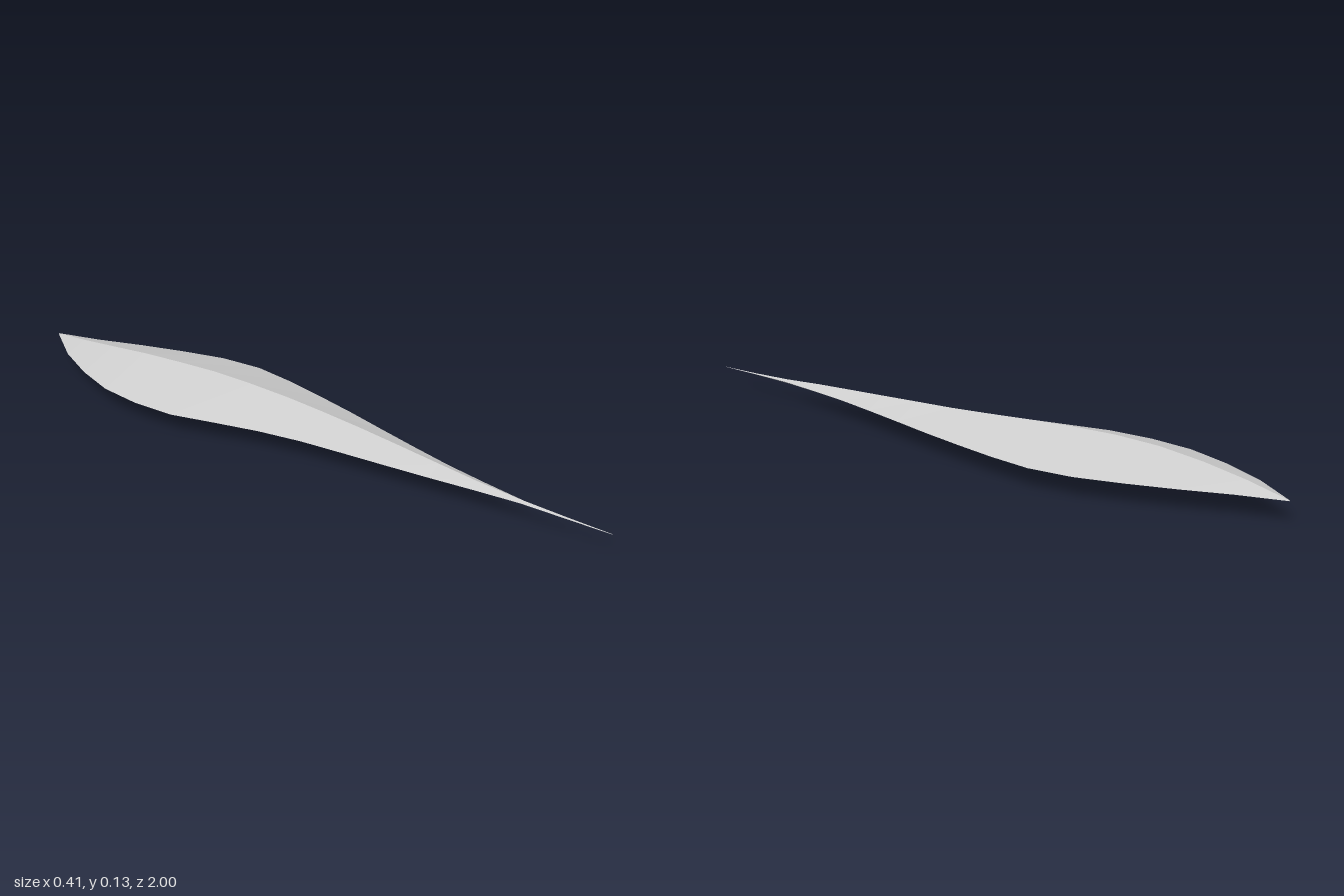
import * as THREE from 'three';

// Cross-sections from back tip to front tip: [left edge x, ridge x, right edge x, half thickness]
const SECTIONS = [
  [0.002, 0.004, 0.007, 0.001],
  [-0.088, -0.014, 0.05, 0.022],
  [-0.15, -0.022, 0.103, 0.041],
  [-0.193, -0.022, 0.15, 0.056],
  [-0.206, -0.014, 0.19, 0.063],
  [-0.198, 0, 0.205, 0.064],
  [-0.158, 0.01, 0.19, 0.06],
  [-0.12, 0.018, 0.166, 0.053],
  [-0.093, 0.02, 0.139, 0.045],
  [-0.076, 0.017, 0.108, 0.038],
  [-0.06, 0.012, 0.078, 0.03],
  [-0.043, 0.006, 0.05, 0.022],
  [-0.024, 0.001, 0.029, 0.014],
  [-0.007, 0.002, 0.011, 0.006],
  [-0.002, 0.003, 0.007, 0.002],
  [0.003, 0.004, 0.005, 0],
];
const MID_Y = 0.064;

// Loft a four-sided diamond section along z
function bladeGeometry() {
  const positions = [];
  const index = [];
  const last = SECTIONS.length - 1;
  SECTIONS.forEach(([left, ridge, right, h], i) => {
    const z = -1 + (2 * i) / last;
    positions.push(right, MID_Y, z, ridge, MID_Y + h, z, left, MID_Y, z, ridge, MID_Y - h, z);
  });
  for (let i = 0; i < last; i++) {
    for (let j = 0; j < 4; j++) {
      const a = i * 4 + j;
      const b = i * 4 + ((j + 1) % 4);
      index.push(a, b, a + 4, b, b + 4, a + 4);
    }
  }
  index.push(0, 2, 1, 0, 3, 2); // closes the blunt back tip
  const geometry = new THREE.BufferGeometry();
  geometry.setAttribute('position', new THREE.Float32BufferAttribute(positions, 3));
  geometry.setIndex(index);
  const flat = geometry.toNonIndexed();
  flat.computeVertexNormals();
  return flat;
}

export function createModel() {
  const group = new THREE.Group();
  group.name = 'leafBlade';
  const material = new THREE.MeshStandardMaterial({ color: 0xcccccc });
  material.name = 'light grey';
  const blade = new THREE.Mesh(bladeGeometry(), material);
  blade.name = 'blade';
  group.add(blade);
  return group;
}
